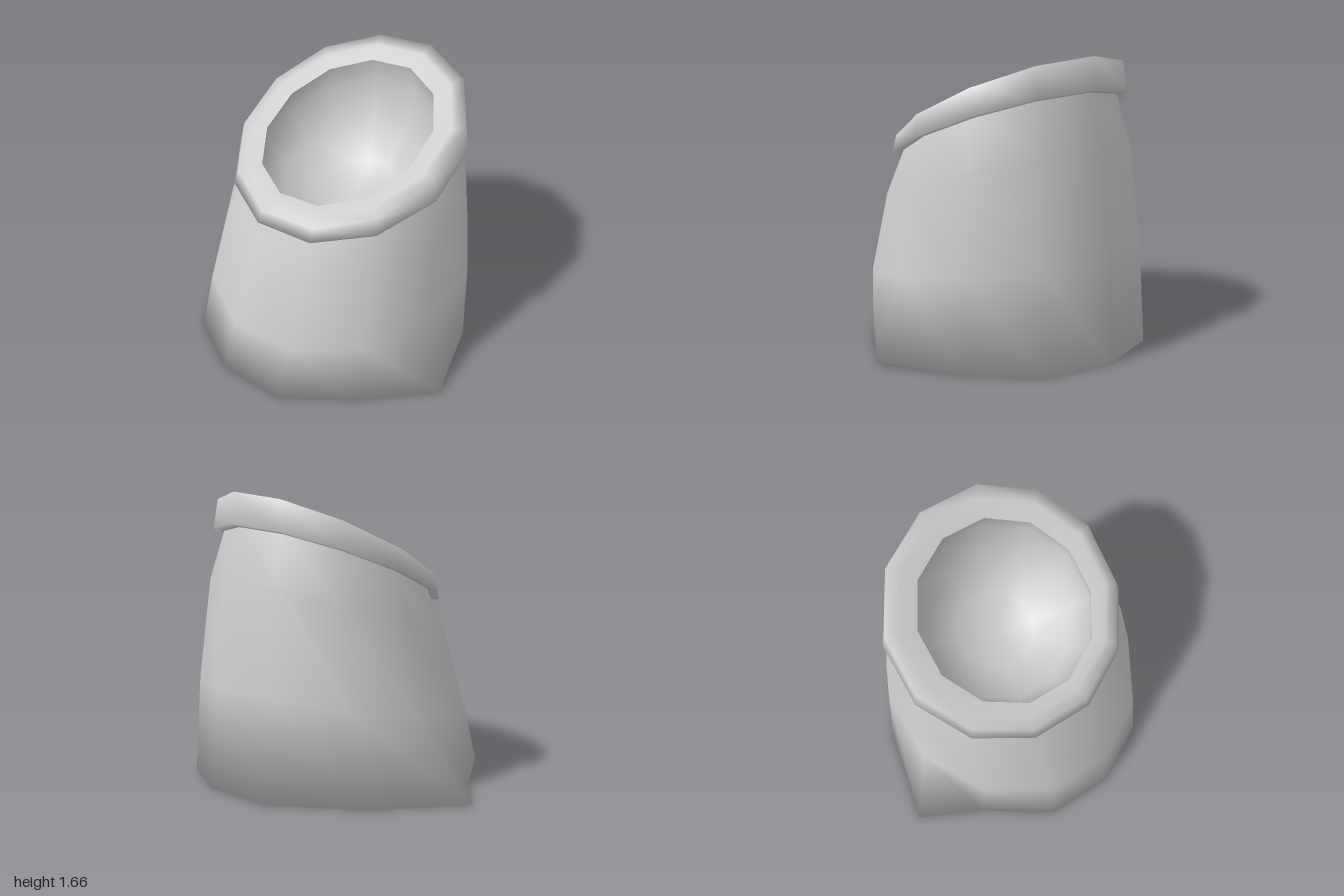
import * as THREE from 'three';
import { mergeVertices } from 'three/addons/utils/BufferGeometryUtils.js';

const SIDES = 12;
const CX = 0.055;

// Tilted oval ring: half width, front/back z, front/back height
function ring(rx, zFront, zBack, yFront, yBack) {
  const points = [];
  for (let i = 0; i < SIDES; i++) {
    const a = (i / SIDES) * Math.PI * 2;
    const t = (1 + Math.sin(a)) / 2;
    points.push([
      CX + rx * Math.cos(a),
      THREE.MathUtils.lerp(yBack, yFront, t),
      THREE.MathUtils.lerp(zBack, zFront, t),
    ]);
  }
  return points;
}

// Smooth skin over a series of rings
function loft(name, rings, material) {
  const index = [];
  for (let k = 0; k < rings.length - 1; k++) {
    for (let i = 0; i < SIDES; i++) {
      const j = (i + 1) % SIDES;
      const a = k * SIDES + i, b = k * SIDES + j;
      const c = a + SIDES, d = b + SIDES;
      index.push(a, c, d, a, d, b);
    }
  }
  let geometry = new THREE.BufferGeometry();
  geometry.setAttribute('position', new THREE.Float32BufferAttribute(rings.flat(2), 3));
  geometry.setIndex(index);
  geometry = mergeVertices(geometry, 1e-4);
  geometry.computeVertexNormals();
  const mesh = new THREE.Mesh(geometry, material);
  mesh.name = name;
  return mesh;
}

export function createModel() {
  const group = new THREE.Group();
  group.name = 'sack';
  const cloth = new THREE.MeshStandardMaterial({ color: 0xcccccc, side: THREE.DoubleSide });

  // Footprint with the two lower corners pulled out sideways (x, z)
  const foot = [
    [1, 0], [0.74, 0.4], [0.43, 0.76], [0.03, 0.865], [-0.37, 0.76], [-0.68, 0.41],
    [-1, 0.14], [-0.74, -0.37], [-0.35, -0.77], [0.055, -0.865], [0.45, -0.77], [0.74, -0.46],
  ].map(([x, z], i) => [x, i === 0 ? 0.015 : 0, z]);

  // Sagging cloth body with closed base
  group.add(loft('body', [
    ring(0, 0, 0, 0, 0).map(() => [CX, 0, 0]),
    foot,
    ring(0.795, 0.79, -0.84, 0.35, 0.58),
    ring(0.735, 0.64, -0.76, 0.77, 1.18),
    ring(0.65, 0.52, -0.67, 1.01, 1.47),
  ], cloth));

  // Rolled rim, running over into the hollow inside
  const lip = ring(0.515, 0.42, -0.54, 1.12, 1.57);
  group.add(loft('rolledRim', [
    ring(0.64, 0.51, -0.66, 1.01, 1.47),
    ring(0.715, 0.58, -0.73, 0.99, 1.49),
    ring(0.695, 0.55, -0.7, 1.06, 1.665),
    ring(0.62, 0.49, -0.63, 1.1, 1.63),
    lip,
  ], cloth));

  group.add(loft('hollow', [
    lip,
    ring(0.53, 0.42, -0.58, 1.03, 1.42),
    ring(0.44, 0.3, -0.53, 0.9, 1.15),
    ring(0.24, 0.08, -0.38, 0.84, 0.96),
    ring(0, -0.13, -0.13, 0.86, 0.86),
  ], cloth));

  return group;
}
